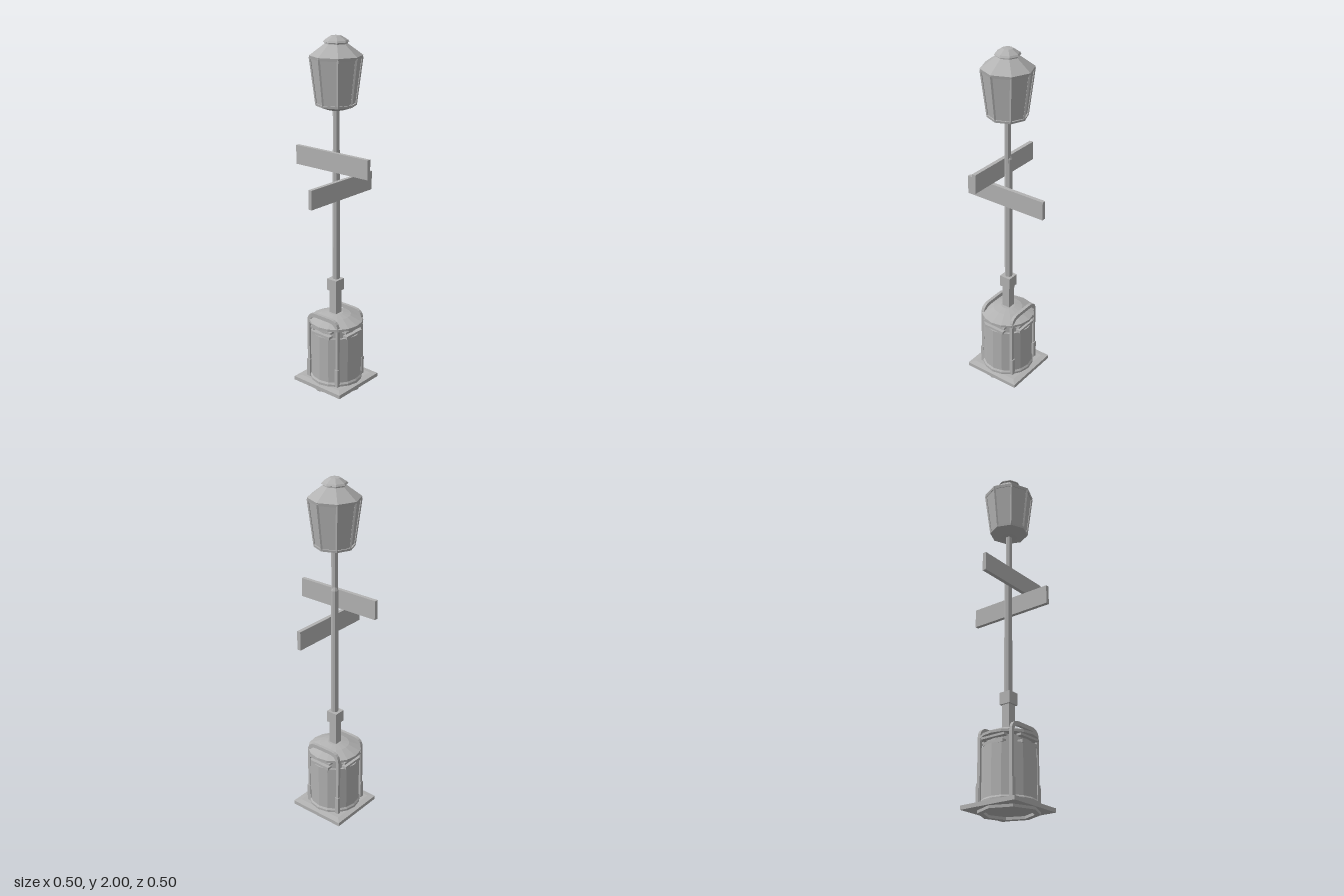
import * as THREE from 'three';

export function createModel() {
  const model = new THREE.Group();
  const grey = new THREE.MeshStandardMaterial({ color: 0xb2b2b2, flatShading: true, side: THREE.DoubleSide });
  grey.name = 'weathered grey metal';

  const CX = 0.003, CZ = 0.006; // axis of the bin and lantern

  function add(name, geometry, x = 0, y = 0, z = 0, parent = model) {
    const mesh = new THREE.Mesh(geometry, grey);
    mesh.name = name;
    mesh.position.set(x, y, z);
    parent.add(mesh);
    return mesh;
  }
  const box = (name, w, h, d, x, y, z, parent) => add(name, new THREE.BoxGeometry(w, h, d), x, y, z, parent);
  const turned = (name, sides, pts, parent) =>
    add(name, new THREE.LatheGeometry(pts.map(p => new THREE.Vector2(...p)), sides), CX, 0, CZ, parent);

  // Base: ring foot and square plate with a shallow pyramid top
  turned('footRing', 8, [[0.13, 0.02], [0.13, 0], [0.162, 0], [0.162, 0.02]]);
  box('basePlate', 0.344, 0.022, 0.344, 0, 0.026, 0.003);
  const slope = new THREE.CylinderGeometry(0.14 * Math.SQRT2, 0.172 * Math.SQRT2, 0.006, 4);
  slope.rotateY(Math.PI / 4);
  add('basePlateSlope', slope, 0, 0.04, 0.003);

  // Bin: faceted barrel, recessed neck and overhanging lid
  turned('binBarrel', 16, [[0, 0.03], [0.152, 0.04], [0.152, 0.055], [0.145, 0.065], [0.145, 0.338], [0.132, 0.338], [0.132, 0.3], [0.1, 0.3]]);
  turned('binNeck', 16, [[0.118, 0.3], [0.118, 0.39]]);
  turned('binLid', 16, [[0, 0.385], [0.143, 0.383], [0.154, 0.388], [0.154, 0.402], [0.14, 0.408], [0.085, 0.432], [0.04, 0.442], [0, 0.442]]);

  // Bin mouths on four sides, each a sill under a hood
  for (let i = 0; i < 4; i++) {
    const mouth = new THREE.Group();
    mouth.name = 'binMouth';
    mouth.position.set(CX, 0, CZ);
    mouth.rotation.y = i * Math.PI / 2;
    box('mouthSill', 0.13, 0.018, 0.03, 0, 0.343, 0.122, mouth);
    box('mouthHood', 0.15, 0.012, 0.03, 0, 0.377, 0.122, mouth);
    model.add(mouth);
  }

  // Arched straps over the front and back of the bin
  function arch(halfWidth, bottom, top, r) {
    const s = new THREE.Shape();
    s.moveTo(-halfWidth, bottom);
    s.lineTo(halfWidth, bottom);
    s.lineTo(halfWidth, top - r);
    s.quadraticCurveTo(halfWidth, top, halfWidth - r, top);
    s.lineTo(r - halfWidth, top);
    s.quadraticCurveTo(-halfWidth, top, -halfWidth, top - r);
    s.closePath();
    return s;
  }
  const strapShape = arch(0.114, 0.04, 0.45, 0.06);
  strapShape.holes.push(arch(0.098, 0.05, 0.428, 0.05));
  for (const side of [-1, 1]) {
    const strap = new THREE.ExtrudeGeometry(strapShape, { depth: 0.018, bevelEnabled: false, curveSegments: 5 });
    strap.translate(0, 0, -0.009);
    add('binStrap', strap, -0.003, 0, CZ + side * 0.104);
    for (const x of [-1, 1]) box('strapFoot', 0.024, 0.11, 0.02, -0.003 + x * 0.105, 0.095, CZ + side * 0.108);
  }

  // Post: square stem, collar, sleeve and the thinner lamp pole
  box('postStem', 0.048, 0.17, 0.048, -0.002, 0.5, CZ);
  box('postCollar', 0.068, 0.068, 0.068, -0.002, 0.614, CZ);
  add('postSleeve', new THREE.CylinderGeometry(0.02, 0.021, 0.74, 8), -0.001, 1.02, 0.002);
  add('sleeveCap', new THREE.CylinderGeometry(0.012, 0.02, 0.02, 8), -0.001, 1.4, 0.002);
  add('lampPole', new THREE.CylinderGeometry(0.018, 0.018, 0.98, 8), CX, 1.14, CZ);

  // Two crossed direction boards
  box('frontSignBoard', 0.504, 0.107, 0.022, 0, 1.334, 0.036);
  box('sideSignBoard', 0.022, 0.107, 0.503, 0.033, 1.176, -0.0015);

  // Lantern: octagonal glass, rails, corner bars and stepped roof
  const lantern = new THREE.Group();
  lantern.name = 'lantern';
  model.add(lantern);
  turned('lanternUnderside', 8, [[0.018, 1.612], [0.045, 1.614], [0.109, 1.636], [0.111, 1.648], [0.1, 1.648]], lantern);
  turned('lanternPanels', 8, [[0.102, 1.64], [0.134, 1.892]], lantern);
  turned('lanternRoof', 8, [[0.128, 1.884], [0.138, 1.882], [0.141, 1.898], [0.06, 1.958],
    [0.06, 1.964], [0.069, 1.967], [0.062, 1.976], [0.028, 1.998], [0, 2]], lantern);
  const up = new THREE.Vector3(0, 1, 0);
  for (let i = 0; i < 8; i++) {
    const a = i * Math.PI / 4;
    const low = new THREE.Vector3(Math.sin(a) * 0.104, 1.642, Math.cos(a) * 0.104);
    const high = new THREE.Vector3(Math.sin(a) * 0.135, 1.89, Math.cos(a) * 0.135);
    const dir = high.clone().sub(low);
    const bar = new THREE.CylinderGeometry(0.0075, 0.0065, dir.length(), 4);
    bar.rotateY(a);
    const mesh = add('lanternBar', bar, CX, 0, CZ, lantern);
    mesh.quaternion.setFromUnitVectors(up, dir.normalize());
    mesh.position.add(low.add(high).multiplyScalar(0.5));
  }
  return model;
}
